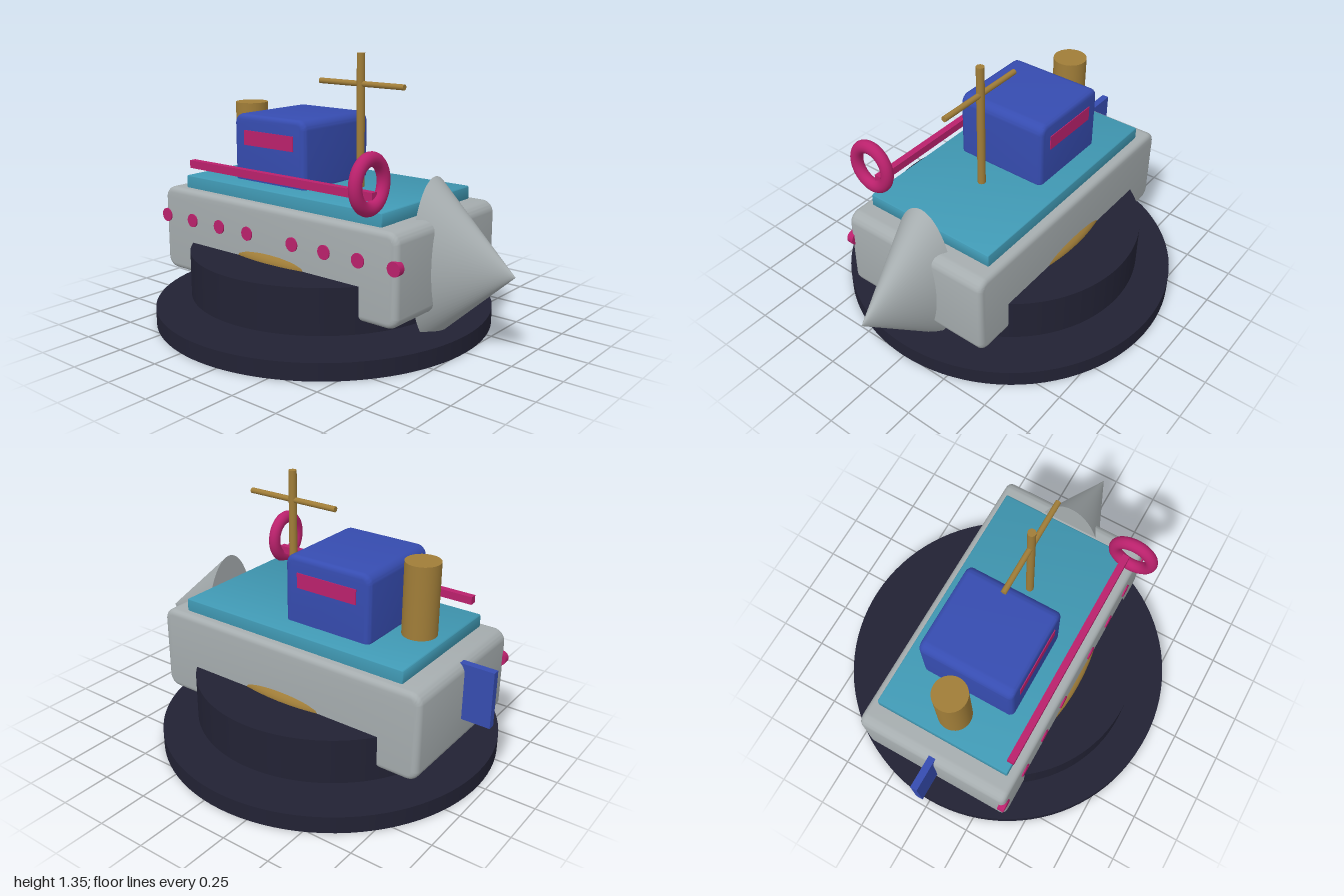
import * as THREE from 'three';
import { toCreasedNormals } from 'three/addons/utils/BufferGeometryUtils.js';

const mat = (name, color) => {
  const m = new THREE.MeshStandardMaterial({ color });
  m.name = name;
  return m;
};

// Rounded-rectangle side profile (corner radius r) extruded along z with a soft bevel b
function softBox(w, h, d, r, b) {
  const x = w / 2 - b, y = h / 2 - b, c = r - b;
  const s = new THREE.Shape();
  s.moveTo(-x + c, -y);
  s.lineTo(x - c, -y);
  s.absarc(x - c, -y + c, c, -Math.PI / 2, 0);
  s.lineTo(x, y - c);
  s.absarc(x - c, y - c, c, 0, Math.PI / 2);
  s.lineTo(-x + c, y);
  s.absarc(-x + c, y - c, c, Math.PI / 2, Math.PI);
  s.lineTo(-x, -y + c);
  s.absarc(-x + c, -y + c, c, Math.PI, Math.PI * 1.5);
  const g = new THREE.ExtrudeGeometry(s, {
    depth: d - 2 * b, bevelEnabled: true, bevelSize: b, bevelThickness: b, bevelSegments: 4, curveSegments: 6,
  });
  g.translate(0, 0, -(d - 2 * b) / 2);
  return toCreasedNormals(g, 0.7);
}

export function createModel() {
  const model = new THREE.Group();
  model.name = 'toyBoat';

  const dark = mat('darkNavy', 0x222234);
  const grey = mat('hullGrey', 0xa6adaf);
  const teal = mat('deckTeal', 0x4099b4);
  const blue = mat('cabinBlue', 0x364cb0);
  const gold = mat('brassGold', 0xa07d38);
  const pink = mat('trimMagenta', 0xba216c);

  const add = (name, geometry, material, x, y, z = 0) => {
    const mesh = new THREE.Mesh(geometry, material);
    mesh.name = name;
    mesh.position.set(x, y, z);
    model.add(mesh);
    return mesh;
  };
  const cyl = (r, h, n = 32) => new THREE.CylinderGeometry(r, r, h, n);
  const box = (w, h, d) => new THREE.BoxGeometry(w, h, d);

  // Round stand: ground disc and raised drum
  add('standDisc', cyl(0.86, 0.085, 96), dark, -0.1, 0.0425);
  add('standDrum', cyl(0.68, 0.225, 96), dark, -0.1, 0.2475);

  // Hull, deck and the flattened bulge that breaks through both hull sides
  add('hull', softBox(1.51, 0.44, 0.81, 0.06, 0.027), grey, -0.1, 0.415);
  add('deck', softBox(1.27, 0.07, 0.714, 0.012, 0.006), teal, -0.1, 0.665);
  add('hullBulge', new THREE.SphereGeometry(1, 64, 32), gold, -0.1, 0.36).scale.set(0.71, 0.13, 0.425);

  // Pointed bow: a cone lying along +x, narrow in z
  const bow = add('bow', new THREE.ConeGeometry(0.395, 0.43, 64), grey, 0.785, 0.415);
  bow.rotation.z = -Math.PI / 2;
  bow.scale.z = 0.18 / 0.395;

  // Rudder at the stern
  add('rudder', box(0.18, 0.285, 0.036), blue, -0.91, 0.4825);

  // Cabin with a window strip on both long sides
  add('cabin', softBox(0.475, 0.375, 0.494, 0.05, 0.025), blue, -0.2475, 0.8475);
  for (const side of [1, -1]) {
    add('cabinWindow', box(0.33, 0.075, 0.008), pink, -0.247, 0.918, side * 0.247);
  }

  // Funnel and mast with its yard
  add('funnel', cyl(0.085, 0.37), gold, -0.603, 0.875);
  add('mast', cyl(0.02, 0.66, 20), gold, 0.134, 1.02);
  add('yard', cyl(0.014, 0.51, 16), gold, 0.135, 1.203).rotation.z = Math.PI / 2;

  // Hand rail ending in a lifebuoy
  add('rail', box(1.18, 0.04, 0.035), pink, -0.1, 0.765, 0.352);
  const buoy = add('lifebuoy', new THREE.TorusGeometry(0.1, 0.031, 16, 48), pink, 0.488, 0.826, 0.385);
  buoy.rotation.y = Math.PI / 2;
  buoy.scale.y = 1.1;

  // Portholes along the front side, four on each half
  for (const half of [-1, 1]) {
    for (let i = 0; i < 4; i++) {
      const x = -0.1 + half * (0.148 + i * 0.197);
      add('porthole', cyl(0.035, 0.034, 16), pink, x, 0.48, 0.395).rotation.x = Math.PI / 2;
    }
  }

  return model;
}
